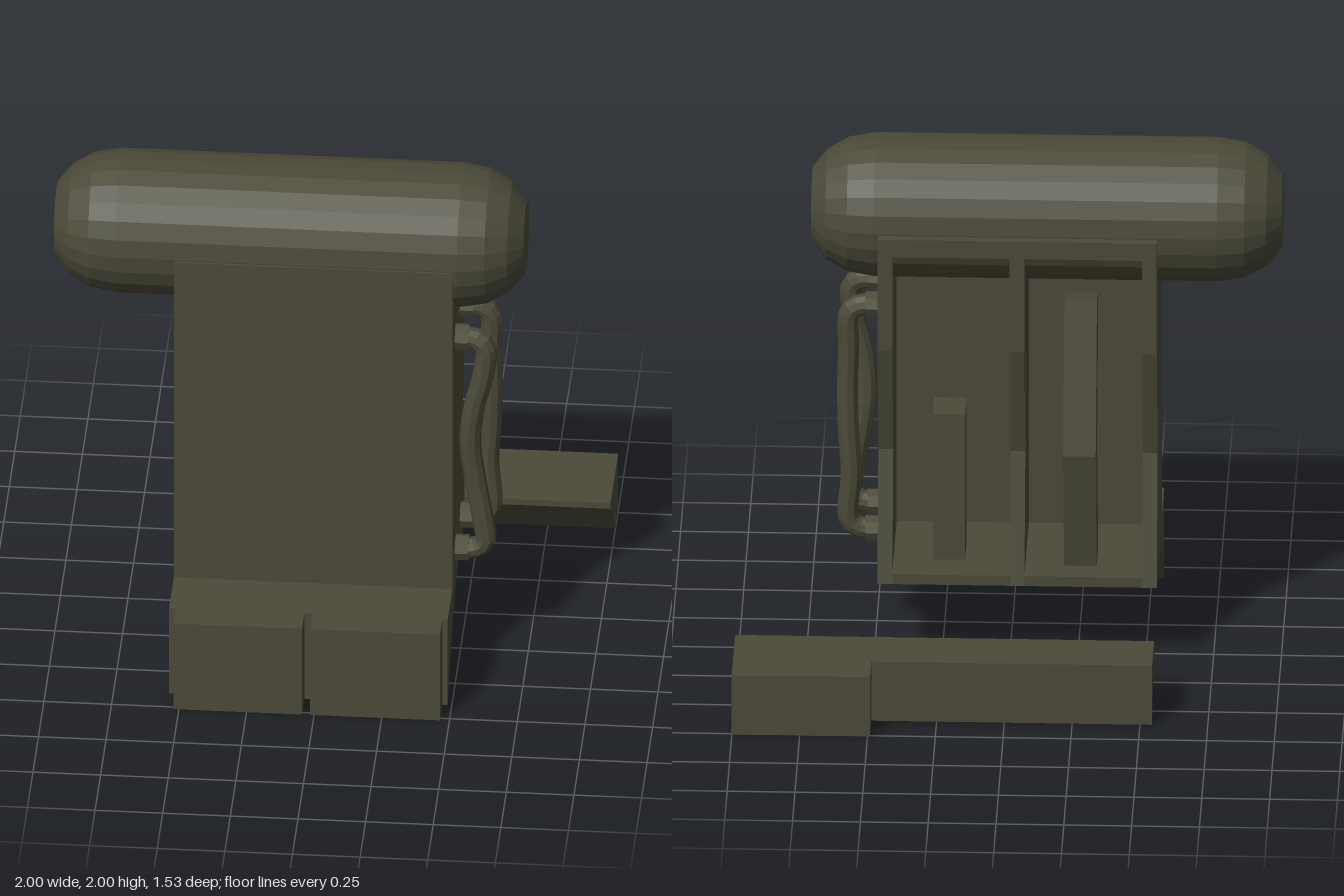
import * as THREE from 'three';

export function createModel() {
  const model = new THREE.Group();
  const olive = new THREE.MeshStandardMaterial({ color: 0x4b4a39, flatShading: true });
  olive.name = 'dark olive';

  const add = (name, geometry, parent = model) => {
    const mesh = new THREE.Mesh(geometry, olive);
    mesh.name = name;
    parent.add(mesh);
    return mesh;
  };

  // Extrudes a side profile of [z, y] points from x0 to x1
  const slab = (name, profile, x0, x1, parent) => {
    const shape = new THREE.Shape(profile.map(([z, y]) => new THREE.Vector2(-z, y)));
    const geometry = new THREE.ExtrudeGeometry(shape, { depth: x1 - x0, bevelEnabled: false });
    geometry.rotateY(Math.PI / 2).translate(x0, 0, 0);
    return add(name, geometry, parent);
  };

  const block = (name, [x0, x1], [y0, y1], [z0, z1], parent) =>
    add(name, new THREE.BoxGeometry(x1 - x0, y1 - y0, z1 - z0)
      .translate((x0 + x1) / 2, (y0 + y1) / 2, (z0 + z1) / 2), parent);

  // Body: ribs with notched rear edges, alternating with open bays
  const body = new THREE.Group();
  body.name = 'body';
  model.add(body);
  const arch = [[-0.135, 0.33], [-0.02, 0.345], [0.16, 0.33], [0.31, 0.285],
    [0.44, 0.215], [0.56, 0.115], [0.655, 0]];
  const front = [[0.655, 0.37], [0.44, 0.37], [0.44, 1.73], [-0.135, 1.73]];
  const ribProfile = [...arch, ...front, [-0.135, 1.28], [-0.03, 0.83]];
  const bayProfile = [...arch, ...front, [-0.135, 1.66], [0.33, 1.66], [0.33, 0.37], [-0.135, 0.37]];
  const stations = [-0.545, -0.49, -0.057, -0.003, 0.43, 0.485];
  for (let i = 0; i < 5; i++) {
    const isRib = i % 2 === 0;
    slab(isRib ? 'rib' : 'bay', isRib ? ribProfile : bayProfile, stations[i], stations[i + 1], body);
  }

  // Pads on the front foot
  for (const span of [[-0.52, -0.045], [-0.015, 0.465]]) {
    block('frontPad', span, [0, 0.37], [0.65, 0.765]);
  }

  // Struts inside the rear bays
  block('straightStrut', [0.166, 0.285], [0.34, 0.96], [0, 0.15]);
  slab('bentStrut', [[-0.02, 0.28], [0.13, 0.31], [0.015, 0.86], [0.138, 1.4], [-0.005, 1.436],
    [-0.135, 0.86]], -0.32, -0.2);

  // Rounded horizontal tank on top
  const tankProfile = [[0, -1], [0.137, -1], [0.205, -0.945], [0.25, -0.865], [0.267, -0.765],
    [0.267, 0.5], [0.25, 0.6], [0.205, 0.68], [0.137, 0.735], [0, 0.735]]
    .map(([r, x]) => new THREE.Vector2(r, x));
  const tank = add('tank', new THREE.LatheGeometry(tankProfile, 24).rotateZ(-Math.PI / 2));
  tank.position.set(0, 1.735, 0.165);

  // Side pipes as [x, y, z] paths, each with a collar at both ends
  const pipes = [
    [[0.48, 1.375, 0.295], [0.56, 1.37, 0.298], [0.595, 1.34, 0.305], [0.59, 1.23, 0.308],
      [0.555, 1.08, 0.308], [0.54, 0.93, 0.3], [0.555, 0.78, 0.294], [0.585, 0.6, 0.298],
      [0.595, 0.5, 0.3], [0.56, 0.47, 0.298], [0.48, 0.465, 0.295]],
    [[0.48, 1.375, 0.065], [0.56, 1.37, 0.065], [0.595, 1.34, 0.065], [0.598, 1.2, 0.068],
      [0.602, 1.03, 0.07], [0.598, 0.86, 0.063], [0.588, 0.7, 0.058],
      [0.595, 0.5, 0.063], [0.56, 0.47, 0.065], [0.48, 0.465, 0.065]],
  ];
  for (const points of pipes) {
    const pipe = new THREE.Group();
    pipe.name = 'sidePipe';
    model.add(pipe);
    const curve = new THREE.CatmullRomCurve3(points.map((p) => new THREE.Vector3(...p)));
    add('pipe', new THREE.TubeGeometry(curve, 40, 0.04, 10), pipe);
    for (const [, y, z] of [points[0], points[points.length - 1]]) {
      const collar = add('pipeCollar', new THREE.CylinderGeometry(0.05, 0.05, 0.055, 8).rotateZ(Math.PI / 2), pipe);
      collar.position.set(0.508, y, z);
    }
  }

  // Separate rear rail with a thicker end block
  slab('rearRail', [[-0.63, 0.005], [-0.53, 0.125], [-0.415, 0.22], [-0.415, 0.245], [-0.63, 0.245]], -0.545, 1);
  block('railEndBlock', [0.49, 1], [0.005, 0.245], [-0.765, -0.63]);

  return model;
}
